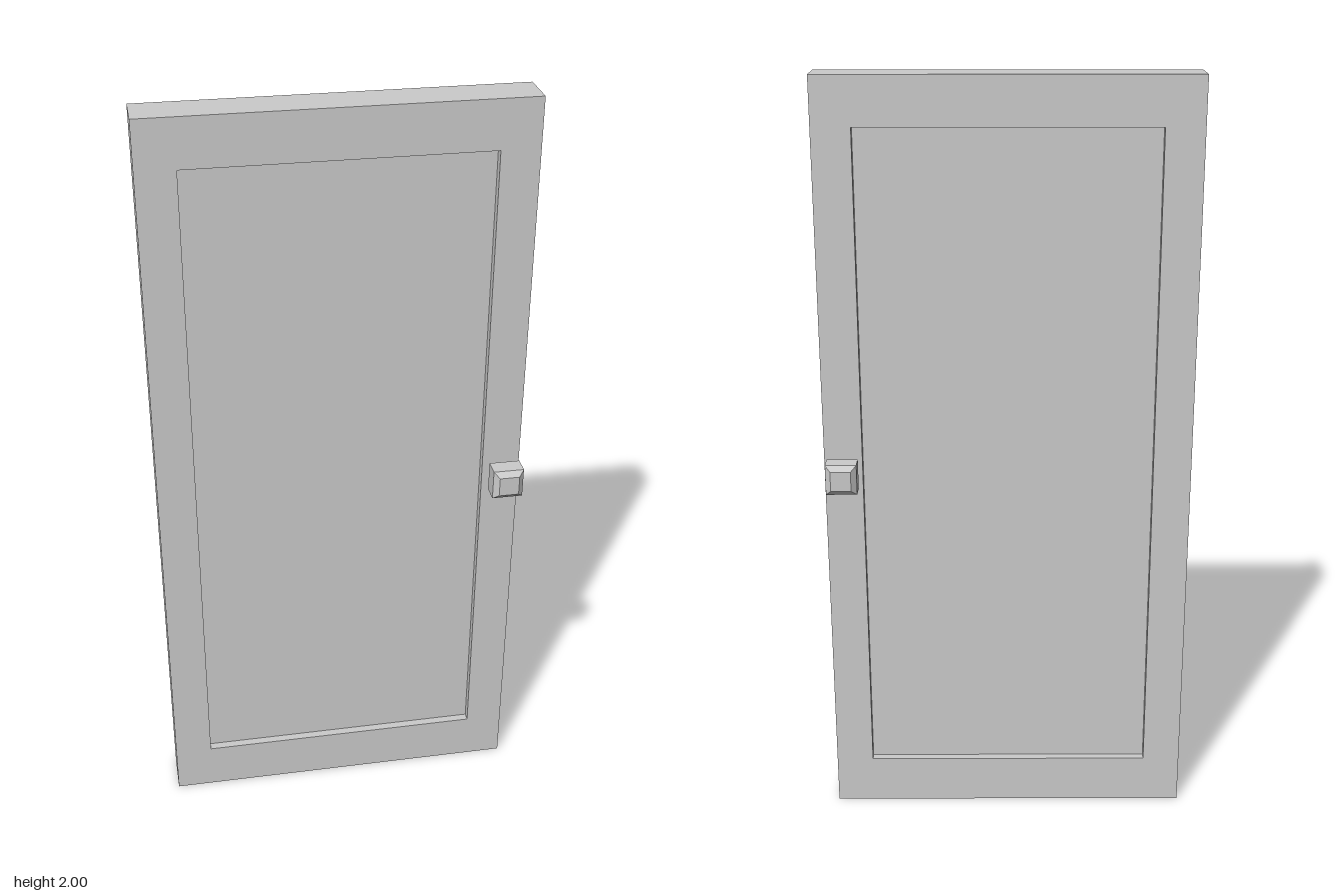
import * as THREE from 'three';

const WIDTH = 0.956, HEIGHT = 2, DEPTH = 0.109, RECESS = 0.022;
const PANEL = { x: 0.379, bottom: 0.13, top: 1.875 };

function rect(target, x, y0, y1) {
  target.moveTo(-x, y0);
  target.lineTo(x, y0);
  target.lineTo(x, y1);
  target.lineTo(-x, y1);
  target.closePath();
  return target;
}

export function createModel() {
  const group = new THREE.Group();
  group.name = 'door';
  const material = new THREE.MeshStandardMaterial({ color: 0xcccccc, flatShading: true });

  function add(name, geometry, parent = group) {
    const mesh = new THREE.Mesh(geometry, material);
    mesh.name = name;
    parent.add(mesh);
    return mesh;
  }

  // Frame with a rectangular opening
  const outline = rect(new THREE.Shape(), WIDTH / 2, 0, HEIGHT);
  outline.holes.push(rect(new THREE.Path(), PANEL.x, PANEL.bottom, PANEL.top));
  const frame = new THREE.ExtrudeGeometry(outline, { depth: DEPTH, bevelEnabled: false });
  frame.translate(0, 0, -DEPTH / 2);
  add('frame', frame);

  // Panel, recessed on both faces
  const panel = new THREE.BoxGeometry(PANEL.x * 2, PANEL.top - PANEL.bottom, DEPTH - RECESS * 2);
  add('panel', panel).position.y = (PANEL.top + PANEL.bottom) / 2;

  // Square knob profile: half width and distance from the door's middle
  const profile = [
    [0.01, 0.05], [0.01, 0.081], [0.025, 0.081], [0.04, 0.095],
    [0.04, 0.14], [0.026, 0.153], [0, 0.153],
  ].map(([half, z]) => new THREE.Vector2(half * Math.SQRT2, z));
  const knob = new THREE.LatheGeometry(profile, 4, Math.PI / 4);
  knob.rotateX(Math.PI / 2);

  // One knob on each face
  for (const [name, turn] of [['frontKnob', 0], ['backKnob', Math.PI]]) {
    const mesh = add(name, knob);
    mesh.position.set(0.427, 1, 0);
    mesh.rotation.y = turn;
  }

  return group;
}
